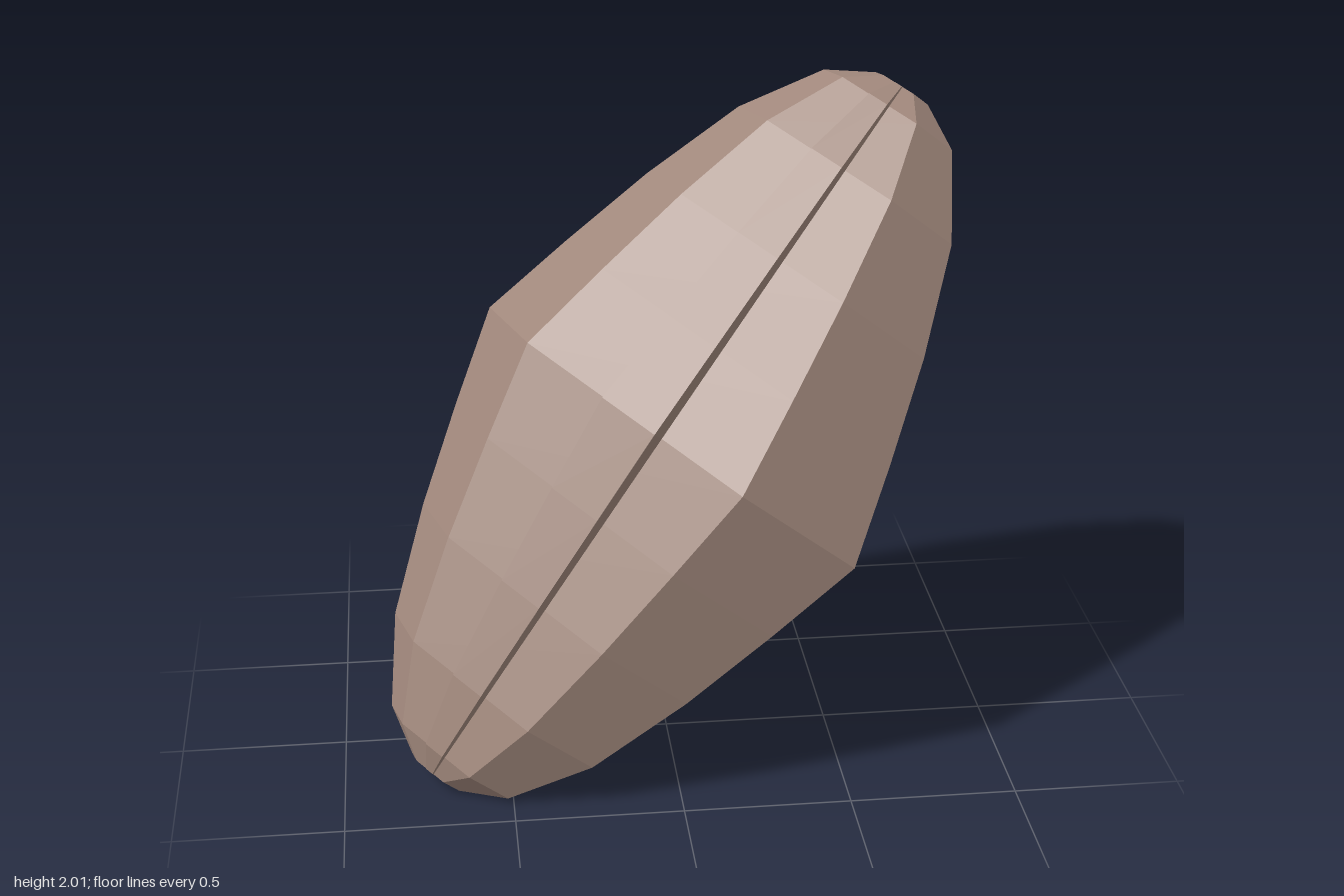
import * as THREE from 'three';

// Skin a closed outline [x, z] scaled by each station [y, scale]
function loft(outline, stations) {
  const pos = [];
  const n = outline.length;
  const point = ([y, k], j) => {
    const [x, z] = outline[j % n];
    return [x * k, y, z * k];
  };
  for (let i = 0; i < stations.length - 1; i++) {
    const lower = stations[i], upper = stations[i + 1];
    for (let j = 0; j < n; j++) {
      const a = point(lower, j), b = point(lower, j + 1);
      const c = point(upper, j), d = point(upper, j + 1);
      if (lower[1] > 0) pos.push(...a, ...c, ...b);
      if (upper[1] > 0) pos.push(...b, ...c, ...d);
    }
  }
  const geometry = new THREE.BufferGeometry();
  geometry.setAttribute('position', new THREE.Float32BufferAttribute(pos, 3));
  geometry.computeVertexNormals(); // unshared corners keep the facets flat
  return geometry;
}

// Repeat the upper half of a profile below the middle
const mirrored = (half) => [
  ...half.slice(1).reverse().map(([y, k]) => [-y, k]),
  ...half,
];

export function createModel() {
  const model = new THREE.Group();
  model.name = 'seedPod';
  const husk = new THREE.MeshStandardMaterial({ color: 0xa1887c });
  husk.name = 'huskBrown';

  const half = [[0, 1], [0.3, 0.878], [0.61, 0.74], [0.93, 0.562], [1.16, 0.335], [1.235, 0.135]];

  // Six-sided husk with dimpled ends
  const hexagon = [[0.71, 0], [0.405, 0.304], [-0.405, 0.304], [-0.71, 0], [-0.405, -0.304], [0.405, -0.304]];
  const body = new THREE.Mesh(loft(hexagon, mirrored([...half, [1.17, 0]])), husk);
  body.name = 'husk';

  // Raised seam running lengthwise on both broad faces, ending in small points
  const band = [[0.108, 0.302], [0.098, 0.346], [-0.098, 0.346], [-0.108, 0.302],
    [-0.108, -0.302], [-0.098, -0.346], [0.098, -0.346], [0.108, -0.302]];
  const seam = new THREE.Mesh(loft(band, mirrored([...half, [1.22, 0]])), husk);
  seam.name = 'raisedSeam';

  // Lean the pod along its long axis
  const axis = new THREE.Vector3(0.59, 0.777, -0.22).normalize();
  const side = new THREE.Vector3(0.688, -0.379, 0.618);
  side.addScaledVector(axis, -side.dot(axis)).normalize();
  const face = new THREE.Vector3().crossVectors(side, axis);
  const pod = new THREE.Group();
  pod.name = 'pod';
  pod.add(body, seam);
  pod.quaternion.setFromRotationMatrix(new THREE.Matrix4().makeBasis(side, axis, face));
  pod.position.y = 1;
  model.add(pod);
  return model;
}
